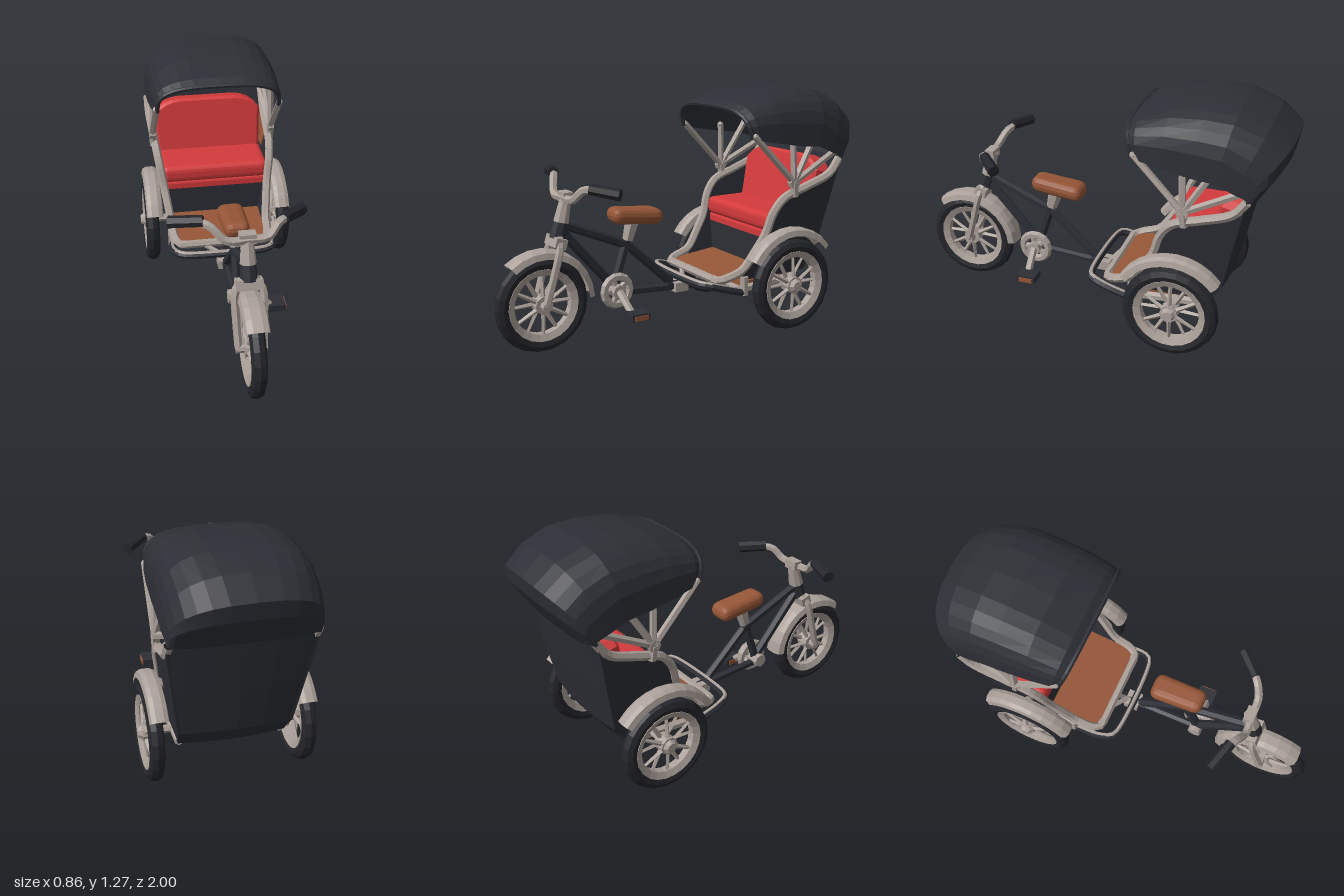
import * as THREE from 'three';
import { RoundedBoxGeometry } from 'three/addons/geometries/RoundedBoxGeometry.js';

const V = (p) => new THREE.Vector3(...p);

function paint(name, color) {
  const m = new THREE.MeshStandardMaterial({ color, flatShading: true, side: THREE.DoubleSide });
  m.name = name;
  return m;
}

function add(parent, name, geometry, material, pos = [0, 0, 0], rot = [0, 0, 0]) {
  const mesh = new THREE.Mesh(geometry, material);
  mesh.name = name;
  mesh.position.set(...pos);
  mesh.rotation.set(...rot);
  parent.add(mesh);
  return mesh;
}

// Straight rod from a to b
function rod(parent, name, a, b, r1, material, r2 = r1, sides = 6) {
  const A = V(a), B = V(b), d = B.clone().sub(A);
  const mesh = add(parent, name, new THREE.CylinderGeometry(r2, r1, d.length(), sides), material);
  mesh.position.copy(A).add(B).multiplyScalar(0.5);
  mesh.quaternion.setFromUnitVectors(new THREE.Vector3(0, 1, 0), d.normalize());
  return mesh;
}

// Bent pipe through points
function pipe(parent, name, pts, r, material, steps = pts.length * 3) {
  const curve = new THREE.CatmullRomCurve3(pts.map(V), false, 'centripetal');
  return add(parent, name, new THREE.TubeGeometry(curve, steps, r, 6), material);
}

// Surface through rows of points
function sheet(rows) {
  const n = rows[0].length, idx = [];
  for (let i = 0; i < rows.length - 1; i++)
    for (let j = 0; j < n - 1; j++) {
      const a = i * n + j, b = a + n;
      idx.push(a, b, a + 1, a + 1, b, b + 1);
    }
  const g = new THREE.BufferGeometry();
  g.setAttribute('position', new THREE.Float32BufferAttribute(rows.flat(2), 3));
  g.setIndex(idx);
  g.computeVertexNormals();
  return g;
}

// Rounded mudguard around a wheel centre
function fender(y0, z0, half, r, a0, a1) {
  const section = [[-1, r - 0.04], [-0.85, r - 0.01], [-0.4, r], [0.4, r], [0.85, r - 0.01], [1, r - 0.04]];
  const rows = [];
  for (let i = 0; i <= 9; i++) {
    const a = a0 + (a1 - a0) * i / 9;
    rows.push(section.map(([x, q]) => [x * half, y0 + q * Math.sin(a), z0 + q * Math.cos(a)]));
  }
  return sheet(rows);
}

export function createModel() {
  const model = new THREE.Group();
  model.name = 'pedalRickshaw';
  const dark = paint('charcoal', 0x2d2f36), rubber = paint('rubber', 0x25262b);
  const metal = paint('warmGrey', 0xaca19a), red = paint('redCushion', 0xd43a3b), brown = paint('brownLeather', 0x965637);

  // Wheels
  function wheel(parent, name, x, y, z, hubHalf) {
    const g = new THREE.Group();
    g.name = name;
    g.position.set(x, y, z);
    parent.add(g);
    const ring = (pts) => new THREE.LatheGeometry(pts.map((p) => new THREE.Vector2(...p)), 22).rotateZ(Math.PI / 2);
    add(g, 'tyre', ring([[0.178, -0.028], [0.21, -0.038], [0.235, -0.026], [0.244, 0], [0.235, 0.026],
      [0.21, 0.038], [0.178, 0.028], [0.178, -0.028]]), rubber);
    add(g, 'rim', ring([[0.15, -0.02], [0.184, -0.034], [0.184, 0.034], [0.15, 0.02], [0.15, -0.02]]), metal);
    for (let i = 0; i < 12; i++) {
      const a = i * Math.PI / 6, s = i % 2 ? 0.018 : -0.018;
      rod(g, 'spoke', [s, 0.03 * Math.sin(a), 0.03 * Math.cos(a)], [s * 0.4, 0.16 * Math.sin(a), 0.16 * Math.cos(a)], 0.013, metal, 0.009, 4);
    }
    rod(g, 'hub', [-0.035, 0, 0], [0.035, 0, 0], 0.046, metal, 0.046, 10);
    rod(g, 'axleCap', [-hubHalf, 0, 0], [hubHalf, 0, 0], 0.024, metal, 0.024, 8);
  }
  wheel(model, 'frontWheel', 0, 0.25, 0.756, 0.075);

  // Front fork, mudguard and steering stem
  add(model, 'frontFender', fender(0.25, 0.758, 0.06, 0.278, 0.9, 3.1), metal);
  for (const s of [-1, 1])
    pipe(model, 'forkLeg', [[s * 0.03, 0.58, 0.665], [s * 0.065, 0.53, 0.68], [s * 0.068, 0.4, 0.715], [s * 0.062, 0.252, 0.758]], 0.02, metal);
  add(model, 'forkCrown', new THREE.BoxGeometry(0.13, 0.05, 0.06), metal, [0, 0.555, 0.67], [-0.3, 0, 0]);
  rod(model, 'headTube', [0, 0.57, 0.665], [0, 0.67, 0.635], 0.042, dark, 0.036, 8);
  rod(model, 'stem', [0, 0.65, 0.642], [0, 0.78, 0.61], 0.04, metal, 0.028, 8);
  add(model, 'barClamp', new THREE.BoxGeometry(0.08, 0.05, 0.05), metal, [0, 0.775, 0.615]);

  // Handlebar and grips
  pipe(model, 'handlebar', [[-0.22, 0.855, 0.575], [-0.17, 0.84, 0.6], [-0.1, 0.775, 0.63], [0, 0.77, 0.625],
    [0.1, 0.775, 0.62], [0.15, 0.825, 0.59], [0.2, 0.83, 0.55]], 0.021, metal);
  rod(model, 'rightGrip', [-0.2, 0.862, 0.585], [-0.355, 0.845, 0.54], 0.028, rubber, 0.031, 7);
  rod(model, 'leftGrip', [0.18, 0.835, 0.57], [0.29, 0.815, 0.465], 0.028, rubber, 0.031, 7);

  // Bicycle frame
  rod(model, 'topTube', [0, 0.64, 0.64], [0, 0.48, 0.26], 0.024, dark);
  rod(model, 'rearTube', [0, 0.49, 0.28], [0, 0.25, 0.02], 0.024, dark);
  rod(model, 'downTube', [0, 0.6, 0.64], [0, 0.28, 0.36], 0.025, dark);
  rod(model, 'seatTube', [0, 0.26, 0.36], [0, 0.54, 0.27], 0.025, dark);
  rod(model, 'chainStay', [0, 0.245, 0.36], [0, 0.22, 0], 0.021, dark);
  rod(model, 'couplingTube', [0, 0.23, 0.05], [0, 0.205, -0.3], 0.026, dark);
  add(model, 'coupling', new THREE.BoxGeometry(0.09, 0.05, 0.08), metal, [0, 0.222, -0.03]);
  rod(model, 'couplingBrace', [0, 0.235, -0.06], [-0.1, 0.28, -0.115], 0.014, metal);
  rod(model, 'seatPost', [0, 0.51, 0.275], [0, 0.6, 0.25], 0.03, metal, 0.04);

  // Saddle, wider and lower at the rear
  const saddle = new RoundedBoxGeometry(0.14, 0.085, 0.285, 2, 0.04), sp = saddle.attributes.position;
  for (let i = 0; i < sp.count; i++) {
    const z = sp.getZ(i);
    sp.setX(i, sp.getX(i) * (0.95 - z * 0.4));
    sp.setY(i, sp.getY(i) + z * 0.1);
  }
  add(model, 'saddle', saddle, brown, [0, 0.637, 0.23]);

  // Crank, chainring and pedal
  add(model, 'chainring', new THREE.TorusGeometry(0.073, 0.022, 6, 14), metal, [0.04, 0.265, 0.36], [0, Math.PI / 2, 0]);
  for (let i = 0; i < 5; i++) {
    const a = i * Math.PI * 0.4;
    rod(model, 'chainringArm', [0.04, 0.265, 0.36], [0.04, 0.265 + 0.07 * Math.sin(a), 0.36 + 0.07 * Math.cos(a)], 0.016, metal);
  }
  rod(model, 'crankAxle', [-0.05, 0.265, 0.36], [0.075, 0.265, 0.36], 0.036, metal, 0.036, 8);
  rod(model, 'crankArm', [0.07, 0.265, 0.36], [0.17, 0.185, 0.35], 0.02, metal);
  add(model, 'pedal', new THREE.BoxGeometry(0.09, 0.036, 0.1), dark, [0.205, 0.177, 0.335]);
  for (const x of [0.157, 0.253]) add(model, 'pedalReflector', new THREE.BoxGeometry(0.006, 0.024, 0.075), brown, [x, 0.175, 0.335]);

  // Cabin half-width grows with height
  const wide = (y) => 0.27 + (y - 0.3) * 0.15;
  const edge = [[-0.83, 0.89], [-0.77, 0.815], [-0.62, 0.755], [-0.48, 0.705], [-0.42, 0.63], [-0.385, 0.52], [-0.33, 0.43], [-0.26, 0.335]];
  const slab = (pts, inset, depth) => {
    const g = new THREE.ExtrudeGeometry(new THREE.Shape(pts.map((p) => new THREE.Vector2(...p))), { depth, bevelEnabled: false });
    const p = g.attributes.position;
    for (let i = 0; i < p.count; i++) p.setXYZ(i, wide(p.getY(i)) - inset - p.getZ(i), p.getY(i), p.getX(i));
    g.computeVertexNormals();
    return g;
  };
  for (const s of [-1, 1]) {
    const side = new THREE.Group();
    side.name = s > 0 ? 'leftSide' : 'rightSide';
    side.scale.x = s;
    model.add(side);
    add(side, 'sidePanel', slab([...edge, [-0.26, 0.28], [-0.66, 0.28], [-0.725, 0.36]], 0, 0.02), dark);
    pipe(side, 'sideTrim', [...edge.map(([z, y]) => [Math.min(wide(y) - 0.008, 0.338), y, z]), [0.262, 0.305, -0.18], [0.24, 0.29, -0.13], [0.2, 0.29, -0.12]], 0.023, metal, 30);
    // Hood hinge and stays
    const hinge = [0.338, 0.785, -0.53];
    add(side, 'hoodHinge', new THREE.CylinderGeometry(0.032, 0.032, 0.03, 8), metal, hinge, [0, 0, Math.PI / 2]);
    for (const [y, z] of [[1.04, -0.28], [1.02, -0.52], [1.03, -0.68], [0.93, -0.82]]) {
      const x = z < -0.6 ? 0.318 : 0.33;
      rod(side, 'hoodStay', hinge, [x, y, z], 0.018, metal, 0.018, 5);
      add(side, 'stayRivet', new THREE.IcosahedronGeometry(0.02, 0), metal, [x, y, z]);
    }
    rod(side, 'hingePost', [0.335, 0.71, -0.54], hinge, 0.022, metal);
    // Rear wheel, mudguard and mounts
    wheel(side, 'rearWheel', 0.374, 0.25, -0.5, 0.055);
    rod(side, 'hubCone', [0.395, 0.25, -0.5], [0.43, 0.25, -0.5], 0.046, metal, 0.025, 8);
    add(side, 'rearFender', fender(0.25, -0.5, 0.047, 0.305, 0.55, 2.45), metal, [0.36, 0, 0]);
    rod(side, 'fenderBracket', [0.28, 0.5, -0.5], [0.34, 0.53, -0.5], 0.02, metal);
    rod(side, 'chassisRail', [0.25, 0.225, -0.25], [0.25, 0.25, -0.62], 0.022, metal);
    rod(side, 'railHanger', [0.27, 0.2, -0.27], [0.27, 0.3, -0.27], 0.024, metal);
  }
  add(model, 'leftLining', slab([[-0.8, 0.85], [-0.75, 0.79], [-0.62, 0.735], [-0.56, 0.715], [-0.58, 0.64], [-0.76, 0.64]], 0.021, 0.006), brown);

  // Rear and lower shell, gently bowed
  const shell = [[0.9, -0.828], [0.62, -0.775], [0.36, -0.722], [0.26, -0.65], [0.25, -0.53]].map(([y, z]) =>
    [-1, -0.85, -0.45, 0, 0.45, 0.85, 1].map((t) => [t * wide(y), y, z - 0.025 * (1 - t * t)]));
  add(model, 'rearPanel', sheet(shell), dark);

  // Floor, underside and rails
  add(model, 'floor', new THREE.BoxGeometry(0.5, 0.02, 0.34), brown, [0, 0.3, -0.29], [0.1, 0, 0]);
  add(model, 'underside', new THREE.BoxGeometry(0.46, 0.025, 0.26), brown, [0, 0.247, -0.41]);
  add(model, 'underFloorStrip', new THREE.BoxGeometry(0.42, 0.009, 0.07), red, [0, 0.204, -0.3]);
  rod(model, 'floorFrontTrim', [-0.21, 0.29, -0.12], [0.21, 0.29, -0.12], 0.022, metal);
  const loop = (y) => [[-0.27, y - 0.07, -0.28], [-0.275, y - 0.02, -0.12], [-0.255, y, -0.05], [-0.22, y, -0.03],
    [0.22, y, -0.03], [0.255, y, -0.05], [0.275, y - 0.02, -0.12], [0.27, y - 0.07, -0.28]];
  pipe(model, 'bumperRail', loop(0.278), 0.02, dark, 32);
  pipe(model, 'bumperTrim', loop(0.291), 0.011, metal, 32);
  rod(model, 'frontCrossBar', [-0.27, 0.22, -0.275], [0.27, 0.22, -0.275], 0.015, metal);
  rod(model, 'rearAxle', [-0.36, 0.25, -0.5], [0.36, 0.25, -0.5], 0.02, metal);

  // Bench
  add(model, 'benchFront', new THREE.BoxGeometry(0.56, 0.18, 0.02), dark, [0, 0.39, -0.43]);
  add(model, 'benchBase', new RoundedBoxGeometry(0.585, 0.055, 0.32, 1, 0.012), red, [0, 0.495, -0.58]);
  add(model, 'seatCushion', new RoundedBoxGeometry(0.61, 0.1, 0.33, 2, 0.035), red, [0, 0.568, -0.575]);
  const back = new THREE.Shape();
  back.moveTo(-0.28, 0);
  back.lineTo(0.28, 0);
  back.lineTo(0.29, 0.24);
  back.quadraticCurveTo(0.25, 0.3, 0.16, 0.305);
  back.lineTo(-0.16, 0.305);
  back.quadraticCurveTo(-0.25, 0.3, -0.3, 0.24);
  add(model, 'backrest', new THREE.ExtrudeGeometry(back, { depth: 0.09, bevelSize: 0.015, bevelThickness: 0.015, bevelSegments: 1, curveSegments: 4 }),
    red, [0, 0.57, -0.745], [-0.22, 0, 0]);

  // Folding hood: ribs given as side foot (z, y), crown (z, y), half-width and squareness
  const ribs = [[-0.27, 1.03, -0.225, 1.175, 0.325, 0.62], [-0.3, 1.02, -0.27, 1.205, 0.342, 0.62], [-0.41, 1.0, -0.43, 1.255, 0.352, 0.62],
    [-0.56, 0.975, -0.6, 1.275, 0.357, 0.62], [-0.68, 0.965, -0.74, 1.27, 0.36, 0.64], [-0.76, 0.93, -0.89, 1.22, 0.357, 0.7],
    [-0.81, 0.91, -0.998, 1.13, 0.352, 0.76], [-0.83, 0.9, -0.985, 1.045, 0.35, 0.76], [-0.825, 0.885, -0.89, 0.89, 0.35, 0.7]];
  const hood = ribs.map(([z0, y0, z1, y1, w, e]) => Array.from({ length: 15 }, (_, i) => {
    const a = Math.PI * i / 14, c = Math.cos(a), s = Math.pow(Math.max(0, Math.sin(a)), e);
    return [-w * Math.sign(c) * Math.pow(Math.abs(c), e), y0 + (y1 - y0) * s, z0 + (z1 - z0) * s];
  }));
  add(model, 'hood', sheet(hood), dark);
  pipe(model, 'hoodHem', hood[0], 0.012, dark, 28);
  return model;
}
